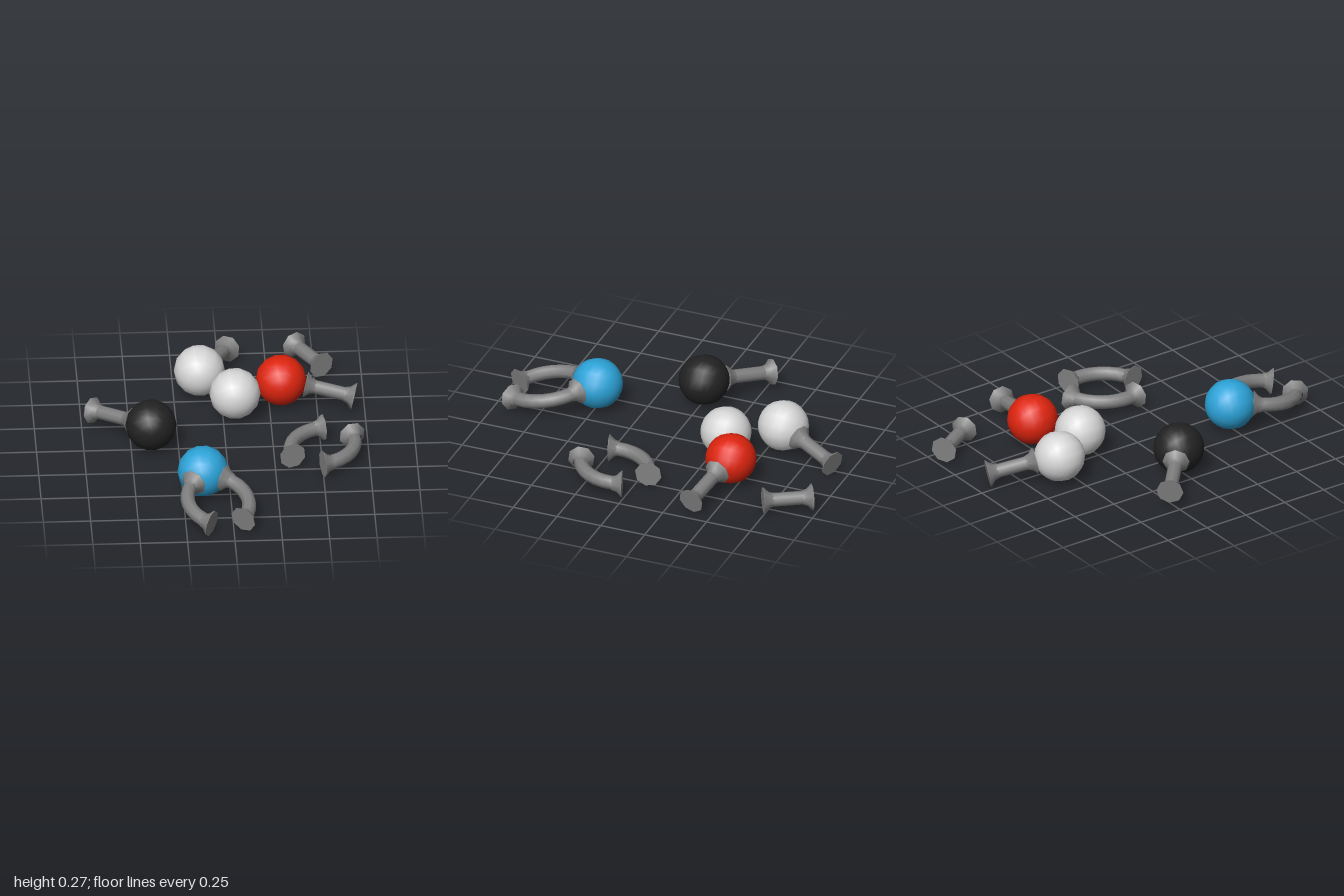
import * as THREE from 'three';

const mat = (name, color) => {
  const m = new THREE.MeshStandardMaterial({ color });
  m.name = name;
  return m;
};

// Circular arc between two points, bulging sideways; bend is the signed half angle
class BentAxis extends THREE.Curve {
  constructor(a, b, bend) {
    super();
    this.mid = a.clone().add(b).multiplyScalar(0.5);
    this.dir = b.clone().sub(a).normalize();
    this.half = a.distanceTo(b) / 2;
    this.side = new THREE.Vector3(-this.dir.z, 0, this.dir.x).normalize();
    this.bend = bend;
  }
  getPoint(t, target = new THREE.Vector3()) {
    const { bend, half } = this, s = 2 * t - 1;
    target.copy(this.mid);
    if (bend === 0) return target.addScaledVector(this.dir, half * s);
    const R = half / Math.sin(bend), ang = bend * s;
    return target.addScaledVector(this.dir, R * Math.sin(ang))
      .addScaledVector(this.side, R * (Math.cos(ang) - Math.cos(bend)));
  }
}

export function createModel() {
  const model = new THREE.Group();
  model.name = 'ballAndConnectorKit';
  const grey = mat('connector grey', 0x808080);
  const V = (p) => new THREE.Vector3(...p);

  // Balls
  const ballGeo = new THREE.SphereGeometry(0.135, 14, 12).rotateX(Math.PI / 2);
  const white = mat('white', 0xd6d6d6);
  [
    ['blackBall', mat('black', 0x222222), -0.395, -0.01],
    ['blueBall', mat('blue', 0x2ca3d8), -0.145, 0.495],
    ['redBall', mat('red', 0xde240e), 0.312, -0.457],
    ['whiteBallBack', white, -0.113, -0.58],
    ['whiteBallFront', white, 0.063, -0.325],
  ].forEach(([name, material, x, z]) => {
    const ball = new THREE.Mesh(ballGeo, material);
    ball.name = name;
    ball.position.set(x, 0.153, z);
    model.add(ball);
  });

  // Flared end and its flat cap, opening towards +y
  const R = 0.038, RIM = 0.072;
  const flareGeo = new THREE.LatheGeometry(
    [[R, -0.055], [0.046, -0.03], [RIM, -0.004], [RIM, 0]].map((p) => new THREE.Vector2(...p)), 8);
  const capGeo = new THREE.CircleGeometry(RIM, 8).rotateX(-Math.PI / 2);
  const up = new THREE.Vector3(0, 1, 0);

  // Connector: a tube with a flared foot at each end
  function connector(name, a, b, bend = 0) {
    const g = new THREE.Group();
    g.name = name;
    const axis = new BentAxis(V(a), V(b), bend);
    const shaft = new THREE.Mesh(new THREE.TubeGeometry(axis, bend ? 8 : 1, R, 8), grey);
    shaft.name = 'shaft';
    g.add(shaft);
    for (const t of [0, 1]) {
      const end = new THREE.Group();
      end.name = t ? 'outerEnd' : 'innerEnd';
      const flare = new THREE.Mesh(flareGeo, grey);
      flare.name = 'flare';
      const cap = new THREE.Mesh(capGeo, grey);
      cap.name = 'cap';
      end.add(flare, cap);
      end.position.copy(axis.getPoint(t));
      end.quaternion.setFromUnitVectors(up, axis.getTangent(t).multiplyScalar(t ? 1 : -1));
      g.add(end);
    }
    model.add(g);
  }

  // Straight connectors: three plugged into balls, one lying loose
  connector('blackBallConnector', [-0.485, 0.135, -0.09], [-0.693, 0.1, -0.275]);
  connector('redBallConnector', [0.44, 0.135, -0.433], [0.697, 0.083, -0.388]);
  connector('whiteBallConnector', [-0.055, 0.135, -0.692], [0.05, 0.083, -0.928]);
  connector('looseStraightConnector', [0.405, 0.08, -0.962], [0.54, 0.08, -0.735]);

  // Curved connectors: a pair on the blue ball, a pair lying loose
  const bend = 0.82;
  connector('blueBallCurvedRight', [-0.198, 0.145, 0.6], [-0.119, 0.08, 0.93], bend);
  connector('blueBallCurvedLeft', [-0.04, 0.147, 0.563], [0.048, 0.083, 0.9], -bend);
  connector('looseCurvedRight', [0.518, 0.08, -0.07], [0.342, 0.08, 0.228], bend);
  connector('looseCurvedLeft', [0.664, 0.08, 0.018], [0.497, 0.08, 0.32], -bend);

  return model;
}
